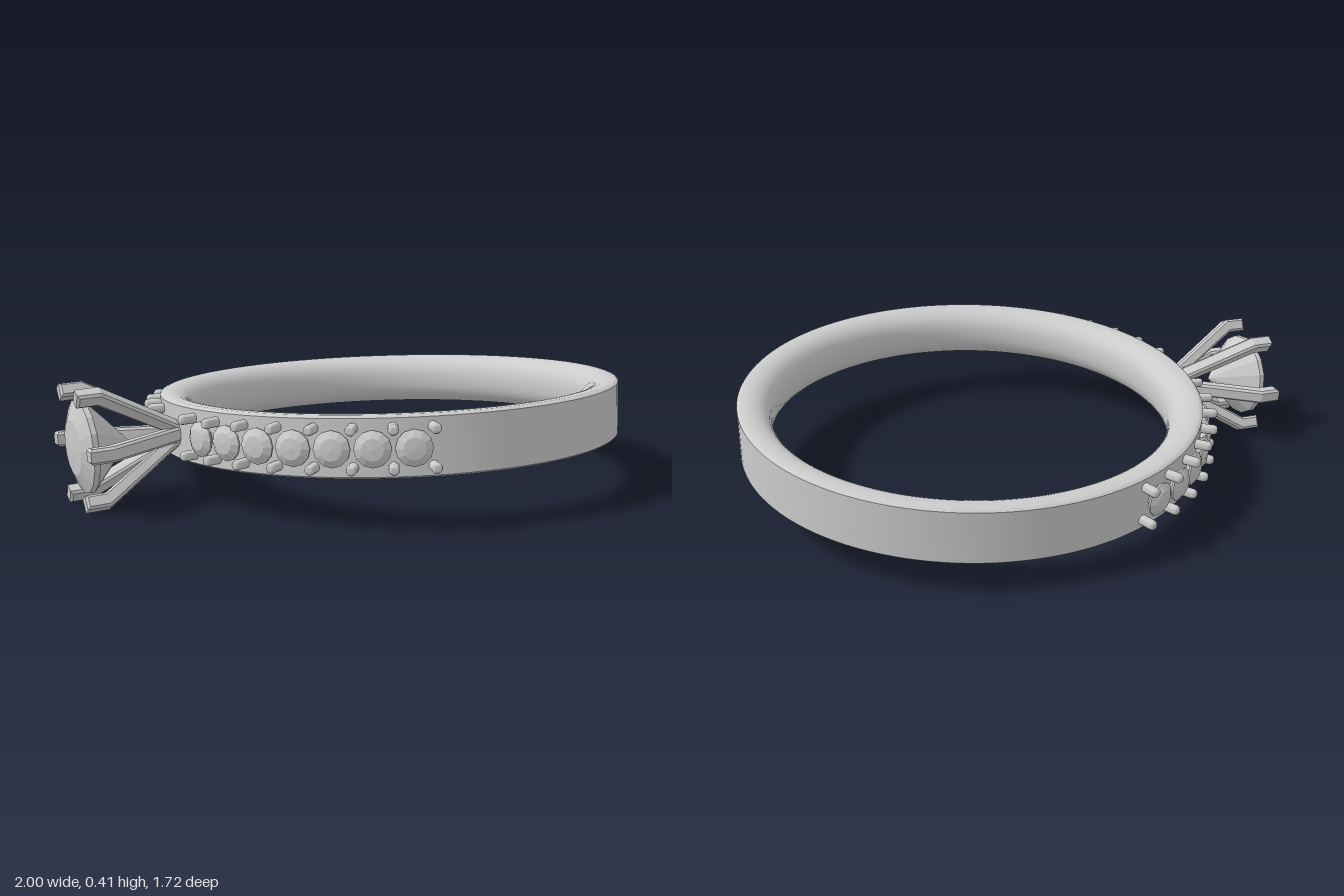
import * as THREE from 'three';
import { toCreasedNormals } from 'three/addons/utils/BufferGeometryUtils.js';

const HEAD = 154.4; // direction of the main stone, degrees around the band
const R = 0.83; // outer radius of the band

const smooth = new THREE.MeshStandardMaterial({ color: 0xcccccc });
const faceted = new THREE.MeshStandardMaterial({ color: 0xcccccc, flatShading: true });

const lathe = (pts, segments) =>
  new THREE.LatheGeometry(pts.map(([r, y]) => new THREE.Vector2(r, y)), segments);

function add(parent, name, geometry, material) {
  const mesh = new THREE.Mesh(geometry, material);
  mesh.name = name;
  parent.add(mesh);
  return mesh;
}

// A group whose local +x points outward from the band axis
function radial(parent, name, degrees) {
  const group = new THREE.Group();
  group.name = name;
  group.rotation.y = -THREE.MathUtils.degToRad(degrees);
  parent.add(group);
  return group;
}

// Flat outer wall, softly rounded inner side
function bandGeometry() {
  const upper = [[0.83, 0.09], [0.825, 0.095], [0.815, 0.098]];
  for (let i = 0; i <= 9; i++) {
    const a = (i / 9) * Math.PI / 2;
    upper.push([0.795 - 0.085 * Math.sin(a), 0.098 * Math.cos(a) ** 0.8]);
  }
  upper[upper.length - 1][1] = 0;
  const lower = upper.slice(0, -1).reverse().map(([r, y]) => [r, -y]);
  return toCreasedNormals(lathe([...upper, ...lower, upper[0]], 128), 0.7);
}

// Round cut stone: pointed below, low crown above; its axis lies along x
function gemGeometry(radius, depth, crown, sides) {
  const g = lathe([
    [0, -depth], [radius * 0.55, -depth * 0.5], [radius, -depth * 0.06],
    [radius, depth * 0.06], [radius * 0.6, crown * 0.85], [0, crown],
  ], sides);
  return g.rotateZ(-Math.PI / 2);
}

// Claw: a slanted bar that bends to run along the stone's axis
function clawGeometry() {
  const outline = [[0.815, -0.012], [0.815, 0.036], [1.107, 0.22], [1.185, 0.22], [1.185, 0.172], [1.118, 0.172]];
  const shape = new THREE.Shape(outline.map(([x, y]) => new THREE.Vector2(x, y)));
  const g = new THREE.ExtrudeGeometry(shape, {
    depth: 0.034, bevelEnabled: true, bevelThickness: 0.008, bevelSize: 0.008, bevelOffset: -0.008, bevelSegments: 1,
  });
  return g.translate(0, 0, -0.017);
}

// Small bead post with a rounded end, along x
function beadGeometry() {
  const r = 0.017;
  const g = lathe([[0, 0], [r, 0], [r, 0.055], [r * 0.85, 0.063], [r * 0.45, 0.068], [0, 0.069]], 12);
  return toCreasedNormals(g.rotateZ(-Math.PI / 2), 0.8);
}

export function createModel() {
  const model = new THREE.Group();
  model.name = 'ring';
  const ring = new THREE.Group();
  ring.name = 'tiltedRing';
  ring.position.set(0.165, 0.234, -0.03);
  ring.rotation.set(-0.033, 0, 0.033);
  model.add(ring);

  add(ring, 'band', bandGeometry(), smooth);

  // Main setting: six claws and the large stone
  const head = radial(ring, 'mainSetting', HEAD);
  const tilt = new THREE.Group();
  tilt.name = 'clawBasket';
  tilt.rotation.z = -0.025;
  tilt.position.set(0, 0.014, 0);
  head.add(tilt);
  const claw = clawGeometry();
  for (let i = 0; i < 6; i++) {
    add(tilt, 'claw', claw, faceted).rotation.x = Math.PI / 2 + (i * Math.PI) / 3;
  }
  add(tilt, 'mainStone', gemGeometry(0.155, 0.15, 0.04, 16), faceted).position.x = 1.148;

  // Side rows: seven small stones between eight pairs of beads, on both sides
  const bead = beadGeometry();
  const smallGem = gemGeometry(0.058, 0.05, 0.02, 12);
  const step = 8.4;
  for (const side of [-1, 1]) {
    for (let i = 0; i < 8; i++) {
      const angle = 10 + step * i;
      const pair = radial(ring, 'beadPair', HEAD + side * angle);
      for (const y of [-0.06, 0.06]) add(pair, 'bead', bead, smooth).position.set(R - 0.025 + 0.013, y, 0);
      if (i < 7) {
        const seat = radial(ring, 'sideStoneSeat', HEAD + side * (angle + step / 2));
        add(seat, 'sideStone', smallGem, faceted).position.x = R + 0.018;
      }
    }
  }
  return model;
}
